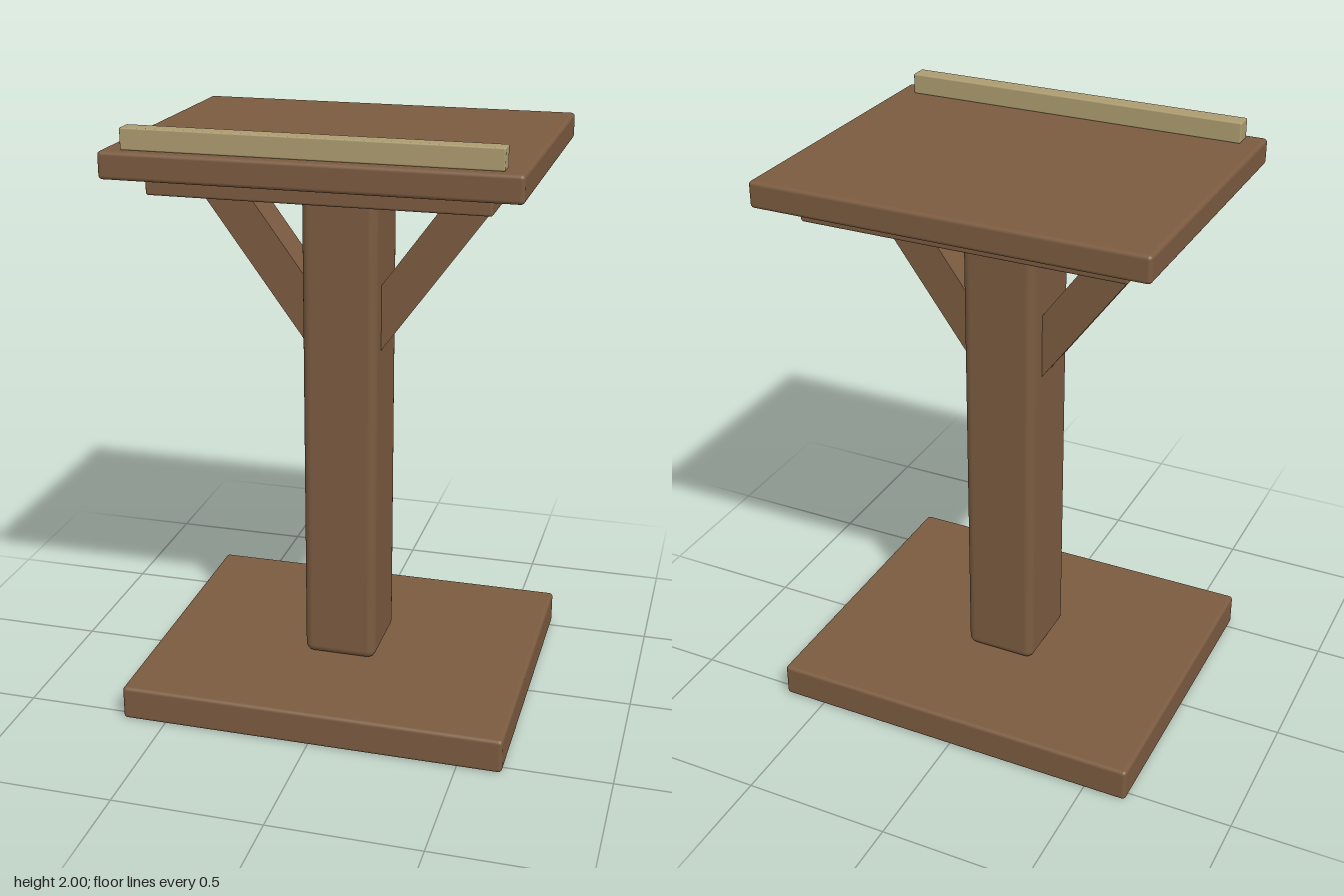
import * as THREE from 'three';
import { RoundedBoxGeometry } from 'three/addons/geometries/RoundedBoxGeometry.js';

export function createModel() {
  const model = new THREE.Group();
  model.name = 'pedestalStand';

  const wood = new THREE.MeshStandardMaterial({ color: 0x7b5b40 });
  wood.name = 'brownWood';
  const paleWood = new THREE.MeshStandardMaterial({ color: 0xad9c70 });
  paleWood.name = 'paleWood';

  // Rounded block spanning y0..y1, centred on x = 0
  function block(name, width, y0, y1, depth, radius, material = wood, z = 0) {
    const mesh = new THREE.Mesh(new RoundedBoxGeometry(width, y1 - y0, depth, 3, radius), material);
    mesh.name = name;
    mesh.position.set(0, (y0 + y1) / 2, z);
    model.add(mesh);
  }

  block('basePlate', 1.296, 0, 0.117, 1.08, 0.013);
  block('column', 0.25, 0.117, 1.78, 0.284, 0.03);
  block('supportPlate', 1.08, 1.78, 1.845, 0.81, 0.008);
  block('topBoard', 1.296, 1.845, 1.932, 1.026, 0.013);
  block('bookLedge', 1.17, 1.932, 2, 0.06, 0.005, paleWood, 0.45);

  // Diagonal braces running from the column up into the support plate
  const tilt = Math.PI / 5;
  const length = 0.68;
  for (const side of [-1, 1]) {
    const brace = new THREE.Mesh(new THREE.BoxGeometry(0.13, length, 0.138), wood);
    brace.name = side > 0 ? 'leftBrace' : 'rightBrace';
    brace.position.set(
      side * (0.4515 - Math.sin(tilt) * length / 2),
      1.788 - Math.cos(tilt) * length / 2,
      0
    );
    brace.rotation.z = -side * tilt;
    model.add(brace);
  }

  return model;
}
